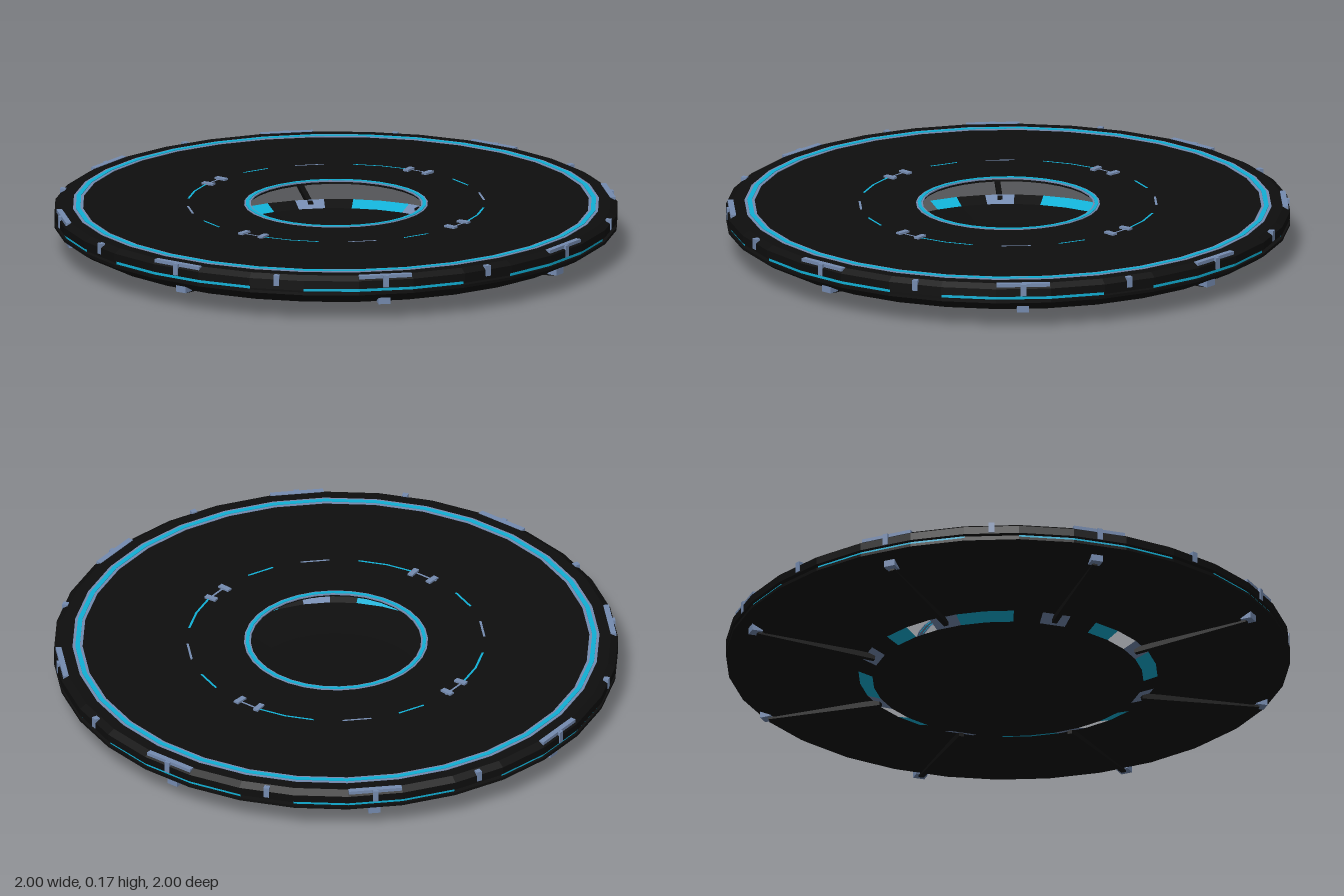
import * as THREE from 'three';

const STEP = Math.PI / 16; // one facet of the 32-sided hull

export function createModel() {
  const model = new THREE.Group();
  const material = (name, color, side = THREE.FrontSide) => {
    const m = new THREE.MeshStandardMaterial({ color, side });
    m.name = name;
    return m;
  };
  const black = material('hullBlack', 0x0e0e0e);
  const floorBlack = material('floorBlack', 0x0e0e0e, THREE.DoubleSide);
  const cyan = material('glowCyan', 0x10b0d6, THREE.DoubleSide);
  const steel = material('steelBlue', 0x758bb0, THREE.DoubleSide);

  const add = (name, geometry, mat, parent = model) => {
    const mesh = new THREE.Mesh(geometry, mat);
    mesh.name = name;
    parent.add(mesh);
    return mesh;
  };
  // Faceted revolved strip; start and count are measured in facets from the front
  const lathe = (name, profile, mat, start = 0, count = 32) => {
    const points = profile.map(([r, y]) => new THREE.Vector2(r, y));
    const g = new THREE.LatheGeometry(points, count, start * STEP, count * STEP).toNonIndexed();
    g.computeVertexNormals();
    return add(name, g, mat);
  };
  // Box placed at an angle: width along the rim, height, depth along the radius
  const radialBox = (name, size, r, y, facet, mat, tilt = 0) => {
    const pivot = new THREE.Group();
    pivot.name = name;
    pivot.rotation.y = facet * STEP;
    const box = add(name, new THREE.BoxGeometry(...size), mat, pivot);
    box.position.set(0, y, r);
    box.rotation.x = tilt;
    model.add(pivot);
  };

  // Saucer shell: underside, grooved rim, flat deck and the lip of the central opening
  lathe('hull', [
    [0.53, 0.04], [0.92, 0.055], [0.97, 0.08], [1, 0.1], [1, 0.11], [0.985, 0.112],
    [0.985, 0.122], [1, 0.125], [1, 0.152], [0.975, 0.167], [0.31, 0.167], [0.31, 0.155],
  ], black);
  // Shallow dish closing the bottom, seen through the opening
  lathe('bottomDish', [[0, 0], [0.31, 0], [0.48, 0.02]], floorBlack);

  // Trim rings on the deck
  const ring = (name, inner, outer, y, mat) =>
    lathe(name, [[outer, 0.165], [outer, y], [inner, y], [inner, 0.165]], mat);
  ring('outerTrim', 0.898, 0.934, 0.169, steel);
  ring('outerGlow', 0.908, 0.924, 0.171, cyan);
  ring('innerTrim', 0.302, 0.326, 0.169, steel);
  ring('innerGlow', 0.308, 0.32, 0.171, cyan);

  // Segmented band under the hull with matching dashes on the deck, repeated each quarter
  const pattern = [
    [-1, 1, steel], [-3, 1, cyan], [-4, 1, floorBlack],
    [-5, 1, steel], [-6, 1, floorBlack], [-8, 2, cyan],
  ];
  for (let q = 0; q < 4; q++) {
    for (const [start, count, mat] of pattern) {
      lathe('lowerBand', [[0.48, 0.02], [0.53, 0.04]], mat, start + q * 8, count);
      if (mat !== floorBlack)
        lathe('deckDash', [[0.53, 0.169], [0.522, 0.169]], mat, start + q * 8, count);
    }
    lathe('deckLight', [[0.537, 0.171], [0.518, 0.171]], cyan, q * 8, 0.9);
    for (const f of [-0.05, -0.85])
      radialBox('deckClip', [0.02, 0.01, 0.045], 0.52, 0.169, f + q * 8, steel);
  }

  // Details repeated eight times around the rim
  for (let i = 0; i < 8; i++) {
    const f = i * 4;
    lathe('rimLight', [[0.991, 0.111], [0.991, 0.121]], cyan, f - 2, 3);
    // T-shaped clamp: top plate and stem
    radialBox('rimPlate', [0.19, 0.012, 0.02], 0.979, 0.163, f - 0.5, steel);
    radialBox('rimStem', [0.02, 0.042, 0.012], 0.992, 0.147, f - 0.5, steel);
    radialBox('rimTick', [0.02, 0.038, 0.02], 0.988, 0.148, f + 1.5, steel);
    // Thin strut under the hull ending in a small foot
    radialBox('strut', [0.018, 0.02, 0.44], 0.72, 0.043, f - 0.5, black, -0.075);
    radialBox('foot', [0.042, 0.028, 0.04], 0.945, 0.07, f - 0.5, steel);
  }
  return model;
}
